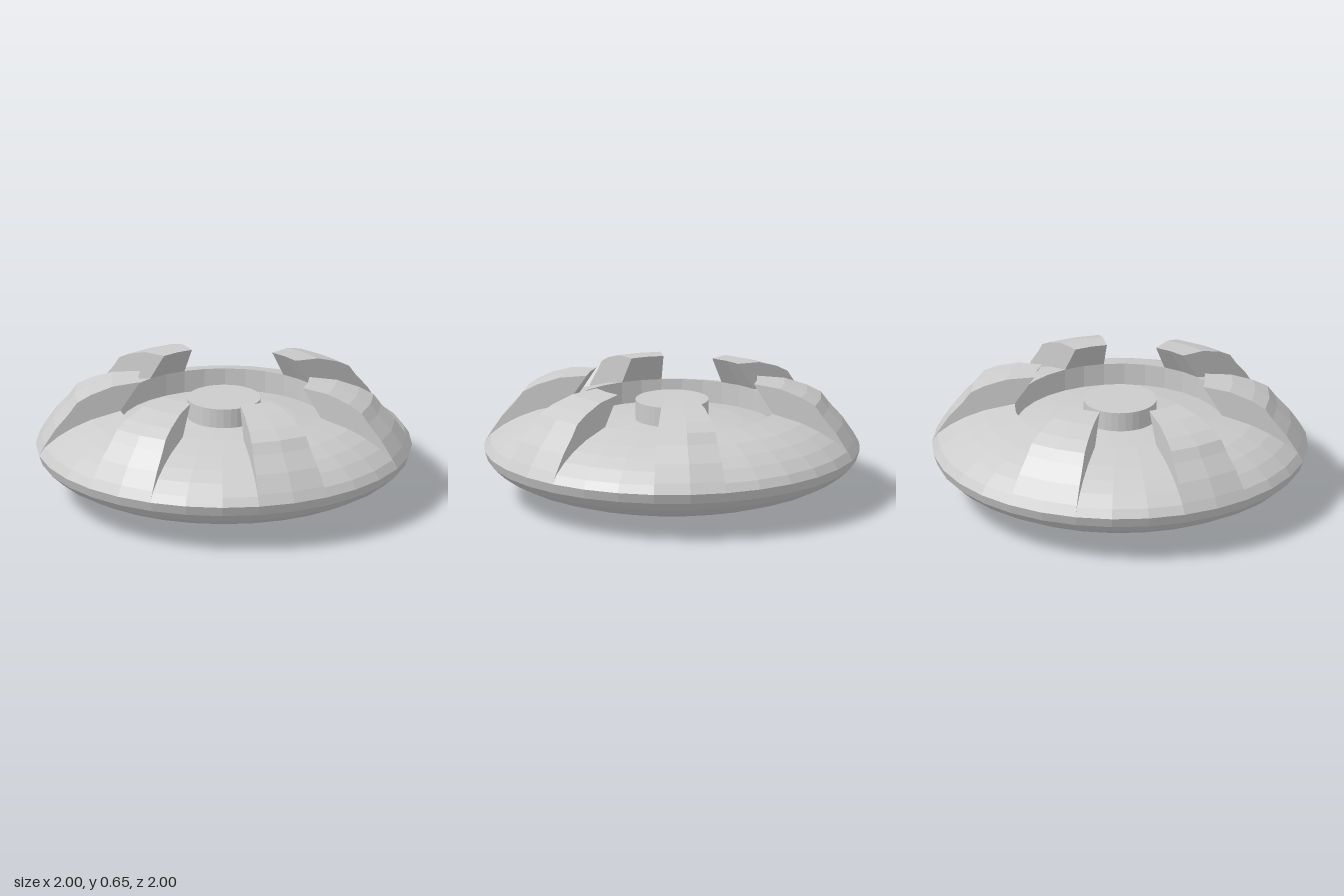
import * as THREE from 'three';
import { mergeGeometries } from 'three/addons/utils/BufferGeometryUtils.js';

const SIDES = 32;
const STEP = (Math.PI * 2) / SIDES;
const grey = new THREE.MeshStandardMaterial({ color: 0xcccccc, flatShading: true });
const greyDouble = new THREE.MeshStandardMaterial({ color: 0xcccccc, flatShading: true, side: THREE.DoubleSide });
const points = (list) => list.map(([r, y]) => new THREE.Vector2(r, y));

// Profiles as [radius, height], running from the rim inwards
const deckProfile = [[1, 0.275], [0.97, 0.32], [0.9, 0.375], [0.82, 0.42], [0.72, 0.46], [0.56, 0.5]];
const finProfile = [[1, 0.275], [0.97, 0.33], [0.91, 0.42], [0.835, 0.505], [0.795, 0.56],
  [0.72, 0.6], [0.6, 0.64], [0.455, 0.655], [0.56, 0.5]];

function addMesh(group, name, geometry, material = grey) {
  const mesh = new THREE.Mesh(geometry, material);
  mesh.name = name;
  group.add(mesh);
  return mesh;
}

// Wedge fin two segments wide: swept outer skin plus two flat end walls
function finGeometry() {
  const start = -STEP;
  const skin = new THREE.LatheGeometry(points(finProfile), 2, start, 2 * STEP);
  const outline = [...finProfile, ...deckProfile.slice(1, -1).reverse()];
  const walls = [start, -start].map((angle) =>
    new THREE.ShapeGeometry(new THREE.Shape(points(outline))).rotateY(angle - Math.PI / 2));
  return mergeGeometries([skin, ...walls]);
}

export function createModel() {
  const group = new THREE.Group();
  group.name = 'saucer';

  // Shallow elliptical underside
  const bowl = [];
  for (let i = 0; i <= 8; i++) {
    const a = (i / 8) * Math.PI / 2;
    bowl.push([Math.sin(a), 0.275 * (1 - Math.cos(a))]);
  }
  addMesh(group, 'underside', new THREE.LatheGeometry(points(bowl), SIDES));

  // Upper deck with a sunken, slightly domed floor
  const deck = [...deckProfile, [0.56, 0.38], [0.38, 0.415], [0.2, 0.435], [0, 0.44]];
  addMesh(group, 'upperDeck', new THREE.LatheGeometry(points(deck), SIDES));

  // Central hub
  const hub = addMesh(group, 'hub', new THREE.CylinderGeometry(0.195, 0.195, 0.14, SIDES));
  hub.position.y = 0.47;

  // Raised fins, centred on these segment numbers around the rim
  const fin = finGeometry();
  [0, 5, 10, 15, 22, 27].forEach((segment, i) => {
    addMesh(group, `fin${i + 1}`, fin, greyDouble).rotation.y = segment * STEP;
  });

  return group;
}
